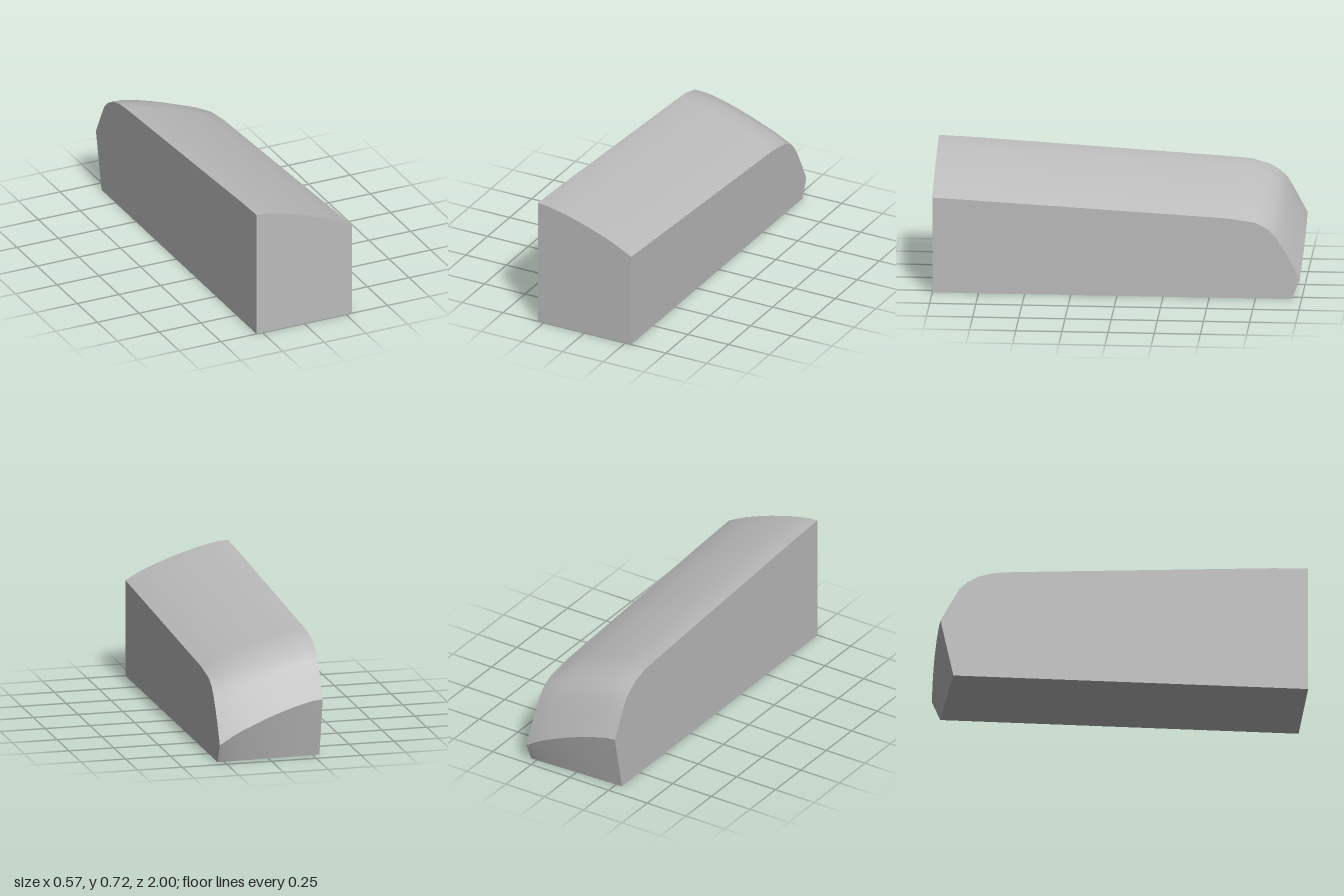
import * as THREE from 'three';

// Side profiles as [z, y], front to back lip, at the tall and the low side
const TALL = [[1, 0.72], [0.8, 0.712], [-0.6, 0.63], [-0.7, 0.621], [-0.79, 0.595], [-0.85, 0.558], [-0.89, 0.52], [-0.94, 0.43], [-0.995, 0.325]];
const LOW = [[1, 0.533], [0.8, 0.523], [-0.6, 0.447], [-0.75, 0.425], [-0.82, 0.388], [-0.86, 0.345], [-0.895, 0.29], [-0.94, 0.21], [-0.99, 0.105]];
// Crown of the cross-section as [x, blend from low to tall]
const CROWN = [[-0.287, 1], [-0.235, 0.985], [-0.175, 0.92], [-0.115, 0.845], [-0.045, 0.735], [0.02, 0.627], [0.1, 0.47], [0.18, 0.3], [0.235, 0.15], [0.287, 0]];

const lerp = THREE.MathUtils.lerp;

// One closed section across the width: crowned top, back lip, underside
function section([x, g]) {
  const last = TALL.length - 1;
  const pts = TALL.map(([z, y], j) => {
    const bulge = j === last ? 0.007 * Math.cos((x / 0.287) * Math.PI / 2) : 0;
    return [x, lerp(LOW[j][1], y, g), Math.max(-1, lerp(LOW[j][0], z, g) - bulge)];
  });
  pts.push([x, 0, lerp(-0.945, -0.925, (0.287 - x) / 0.574)], [x, 0, 1]);
  return pts;
}

// Surface joining rows of equal length
function grid(rows) {
  const n = rows[0].length, index = [];
  for (let i = 0; i < rows.length - 1; i++)
    for (let j = 0; j < n - 1; j++) {
      const a = i * n + j, b = a + n;
      index.push(a, b, a + 1, b, b + 1, a + 1);
    }
  return build(rows.flat(2), index);
}

// Flat side closing one section
function cap(pts, flip) {
  const index = [], hub = pts.length - 1;
  for (let j = 0; j < hub - 1; j++) index.push(hub, ...(flip ? [j + 1, j] : [j, j + 1]));
  return build(pts.flat(), index);
}

function build(positions, index) {
  const geo = new THREE.BufferGeometry();
  geo.setAttribute('position', new THREE.Float32BufferAttribute(positions, 3));
  geo.setIndex(index);
  geo.computeVertexNormals();
  return geo;
}

export function createModel() {
  const group = new THREE.Group();
  group.name = 'roundedWedge';
  const grey = new THREE.MeshStandardMaterial({ color: 0xbbbbbb });
  grey.name = 'grey';
  const add = (name, geo) => {
    const mesh = new THREE.Mesh(geo, grey);
    mesh.name = name;
    group.add(mesh);
  };

  const sections = CROWN.map(section);
  const n = TALL.length;
  const strip = (from, to) => grid(sections.map(s => s.slice(from, to + 1)));

  add('crownedTop', strip(0, n - 1));
  add('backChin', strip(n - 1, n));
  add('base', strip(n, n + 1));
  add('frontFace', grid(sections.map(s => [s[n + 1], s[0]])));
  add('tallSide', cap(sections[0], false));
  add('lowSide', cap(sections[sections.length - 1], true));
  return group;
}
